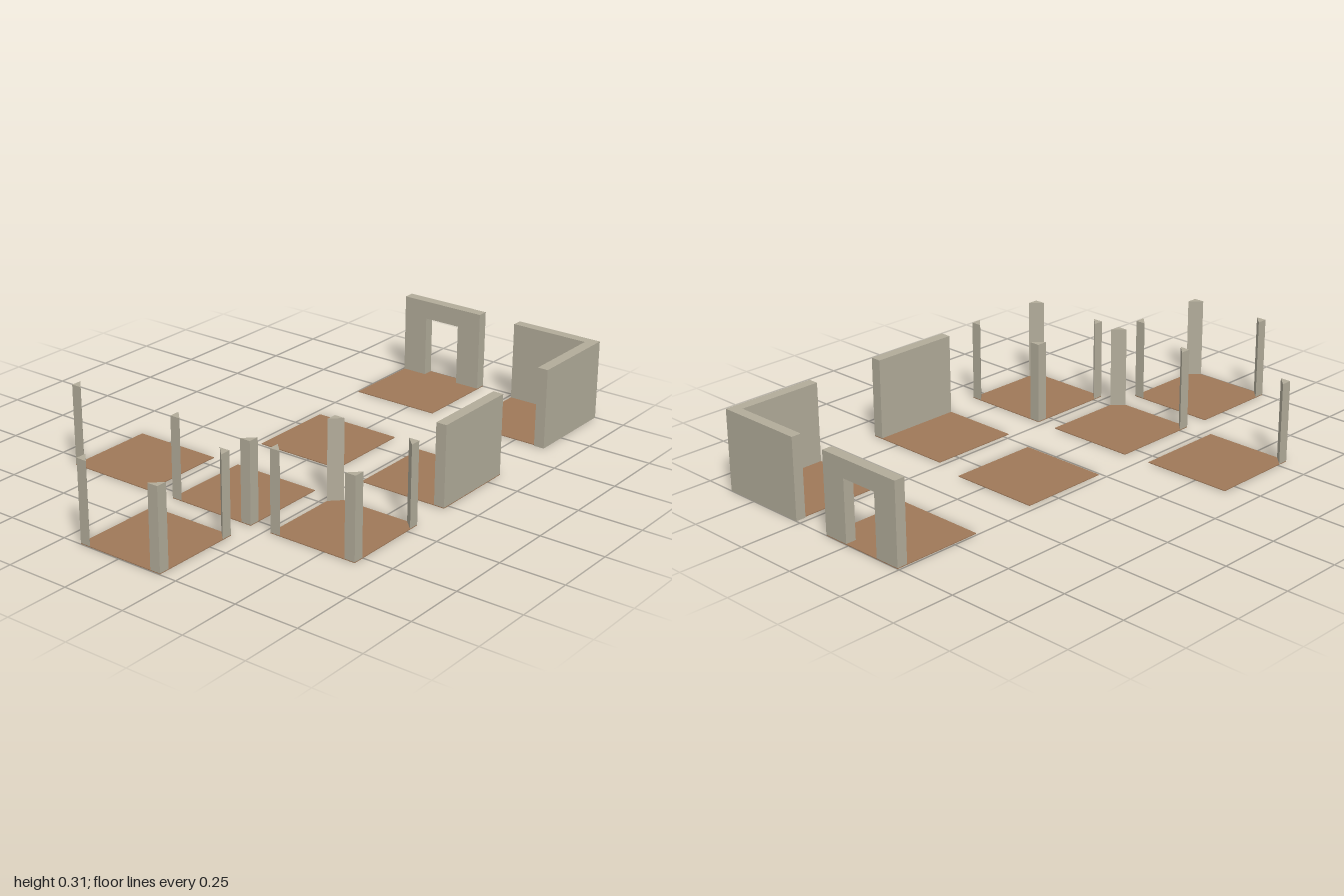
import * as THREE from 'three';

const SIZE = 0.355;   // tile edge
const WALL = 0.042;   // wall thickness and pillar leg
const FLOOR = 0.003;  // floor thickness
const TOP = 0.315;    // wall height

const stone = new THREE.MeshStandardMaterial({ color: 0xb2ac9a });
stone.name = 'stone';
const wood = new THREE.MeshStandardMaterial({ color: 0x9f7858 });
wood.name = 'wood';

// Box given by its minimum and maximum corners
function block(name, material, [x0, y0, z0], [x1, y1, z1]) {
  const mesh = new THREE.Mesh(new THREE.BoxGeometry(x1 - x0, y1 - y0, z1 - z0), material);
  mesh.position.set((x0 + x1) / 2, (y0 + y1) / 2, (z0 + z1) / 2);
  mesh.name = name;
  return mesh;
}

// Extrude a plan outline (x, z) upwards from y0 to y1
function upright(name, points, y0, y1) {
  const shape = new THREE.Shape(points.map(([x, z]) => new THREE.Vector2(x, -z)));
  const geometry = new THREE.ExtrudeGeometry(shape, { depth: y1 - y0, bevelEnabled: false });
  geometry.rotateX(-Math.PI / 2).translate(0, y0, 0);
  const mesh = new THREE.Mesh(geometry, stone);
  mesh.name = name;
  return mesh;
}

// Triangular corner pillar; sx, sz pick the corner of the tile
function pillar(sx, sz) {
  const h = SIZE / 2, i = h - WALL;
  return upright('cornerPillar', [[sx * h, sz * h], [sx * i, sz * h], [sx * h, sz * i]], FLOOR, TOP);
}

// Tile group centred on (x, z)
function tile(name, x, z, parts, withFloor = true) {
  const h = SIZE / 2;
  const group = new THREE.Group();
  group.name = name;
  group.position.set(x, 0, z);
  if (withFloor) group.add(block('floor', wood, [-h, 0, -h], [h, FLOOR, h]));
  if (parts.length) group.add(...parts);
  return group;
}

// Wall with a doorway along the back edge
function doorWall() {
  const h = SIZE / 2, d = 0.076, lintel = 0.243;
  const shape = new THREE.Shape([
    [-h, FLOOR], [-d, FLOOR], [-d, lintel], [d, lintel],
    [d, FLOOR], [h, FLOOR], [h, TOP], [-h, TOP],
  ].map(([x, y]) => new THREE.Vector2(x, y)));
  const geometry = new THREE.ExtrudeGeometry(shape, { depth: WALL, bevelEnabled: false });
  geometry.translate(0, 0, -h);
  const mesh = new THREE.Mesh(geometry, stone);
  mesh.name = 'doorWall';
  return mesh;
}

// Two joined walls around an inset floor
function cornerParts() {
  const h = SIZE / 2, x = h + 0.002, zBack = -0.187, zFront = 0.187;
  const xi = x - WALL, zi = zBack + 0.04;
  return [
    upright('cornerWall', [[-h, zBack], [-h, zi], [xi, zi], [xi, zFront], [x, zFront], [x, zBack]], 0, 0.313),
    block('floor', wood, [-h, FLOOR, zi], [xi, FLOOR * 2, zFront]),
  ];
}

export function createModel() {
  const h = SIZE / 2;
  const model = new THREE.Group();
  model.name = 'dungeonTileSet';
  model.add(
    tile('doorTile', -0.065, -0.822, [doorWall()]),
    tile('cornerTile', 0.448, -0.812, cornerParts(), false),
    tile('plainTile', -0.043, -0.188, []),
    tile('wallTile', 0.449, -0.151, [block('sideWall', stone, [h - WALL, FLOOR, -h], [h, TOP, h])]),
    tile('onePillarTile', -0.457, 0.372, [pillar(-1, 1)]),
    tile('twoPillarTile', 0.008, 0.366, [pillar(-1, 1), pillar(1, 1)]),
    tile('fourPillarTile', 0.451, 0.368, [pillar(-1, 1), pillar(1, 1), pillar(-1, -1), pillar(1, -1)]),
    tile('threePillarTile', 0.003, 0.82, [pillar(-1, 1), pillar(1, 1), pillar(1, -1)]),
  );
  return model;
}
